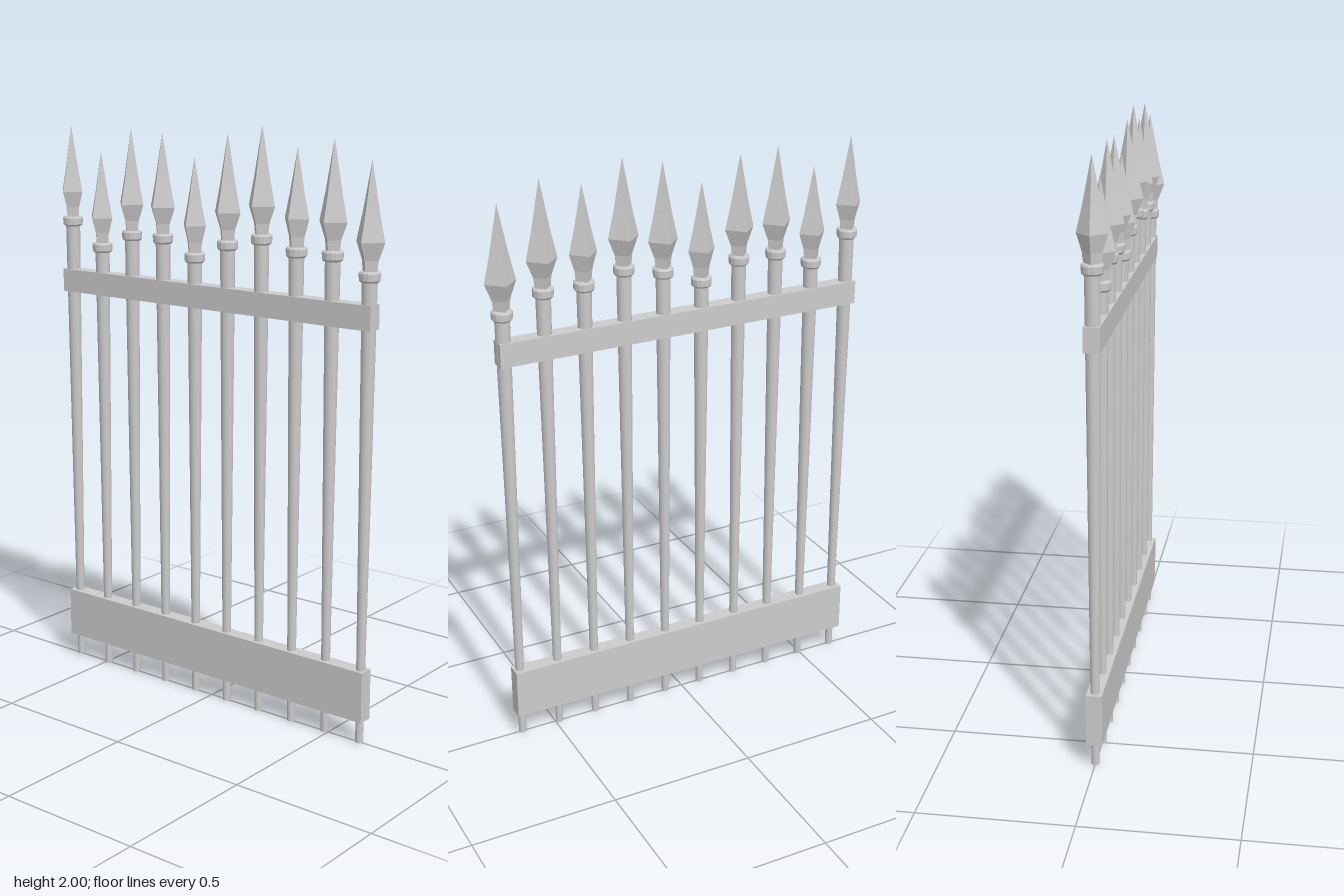
import * as THREE from 'three';

const material = new THREE.MeshStandardMaterial({ color: 0xcccccc });
const flat = new THREE.MeshStandardMaterial({ color: 0xcccccc, flatShading: true });

// Per picket: collar centre height, widest height of the head, tip height, head half-width
const pickets = [
  [1.635, 1.74, 1.97, 0.048],
  [1.552, 1.657, 1.885, 0.049],
  [1.605, 1.712, 1.97, 0.053],
  [1.605, 1.712, 1.96, 0.053],
  [1.552, 1.66, 1.885, 0.048],
  [1.605, 1.712, 1.97, 0.053],
  [1.635, 1.743, 2.0, 0.053],
  [1.605, 1.712, 1.935, 0.048],
  [1.605, 1.712, 1.97, 0.053],
  [1.552, 1.66, 1.91, 0.053],
];

function add(parent, name, geometry, mat, x, y) {
  const mesh = new THREE.Mesh(geometry, mat);
  mesh.name = name;
  mesh.position.set(x, y, 0);
  parent.add(mesh);
}

function lathe(points, sides) {
  return new THREE.LatheGeometry(points.map(([r, y]) => new THREE.Vector2(r, y)), sides);
}

function createPicket([collarY, wideY, tipY, halfWidth]) {
  const picket = new THREE.Group();

  // Round bar, thinning towards the ground
  add(picket, 'bar', new THREE.CylinderGeometry(0.025, 0.013, collarY, 14), material, 0, collarY / 2);

  // Rounded ring below the head
  const ring = [[0.02, -0.017], [0.029, -0.017], [0.034, -0.011], [0.035, 0.011],
    [0.031, 0.017], [0.0, 0.017]];
  add(picket, 'collar', lathe(ring, 14), flat, 0, collarY);

  // Four-sided spear head with a waisted lower half
  const base = collarY + 0.014;
  const rise = wideY - base;
  const head = [[0, base], [0.027, base], [0.031, base + rise * 0.4],
    [halfWidth, wideY], [halfWidth * 0.6, wideY + (tipY - wideY) * 0.36], [0, tipY]];
  add(picket, 'spearHead', lathe(head, 4), flat, 0, 0);
  return picket;
}

export function createModel() {
  const model = new THREE.Group();
  model.name = 'fencePanel';

  pickets.forEach((spec, i) => {
    const picket = createPicket(spec);
    picket.name = `picket${i + 1}`;
    picket.position.x = -0.633 + i * 0.1397;
    model.add(picket);
  });

  // Horizontal rails
  add(model, 'upperRail', new THREE.BoxGeometry(1.306, 0.08, 0.052), material, -0.007, 1.425);
  add(model, 'lowerRail', new THREE.BoxGeometry(1.306, 0.175, 0.052), material, -0.007, 0.168);
  return model;
}
